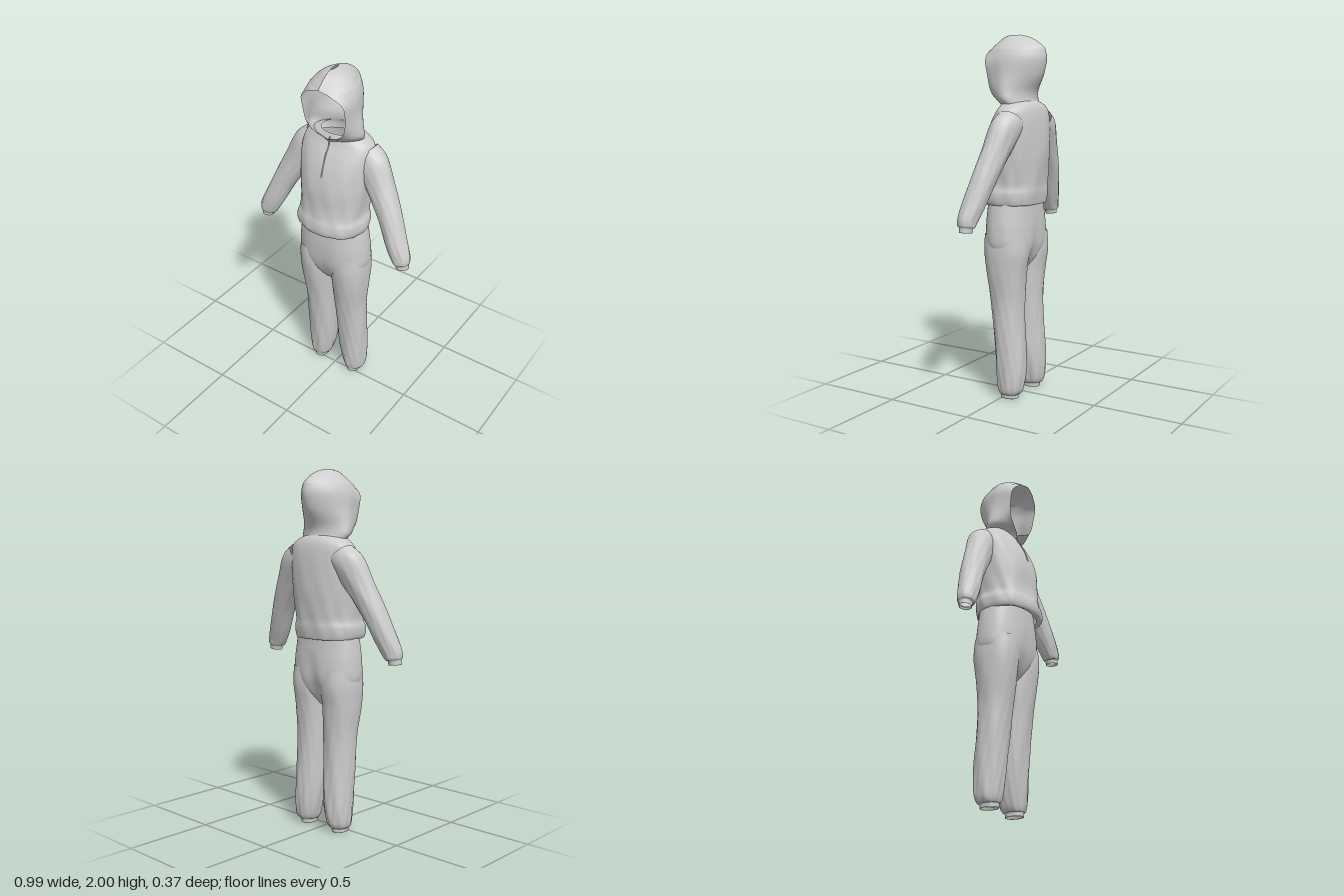
import * as THREE from 'three';

const material = new THREE.MeshStandardMaterial({ color: 0xcccccc, roughness: 0.9, side: THREE.DoubleSide });

// Catmull-Rom blend of the columns of a table of sections
function sampleRows(rows, t) {
  const f = t * (rows.length - 1), i = Math.min(Math.floor(f), rows.length - 2), u = f - i;
  const at = k => rows[Math.max(0, Math.min(rows.length - 1, k))];
  return rows[i].map((_, c) => {
    const [a, b, d, e] = [at(i - 1)[c], at(i)[c], at(i + 1)[c], at(i + 2)[c]];
    return b + 0.5 * u * (d - a + u * (2 * a - 5 * b + 4 * d - e + u * (3 * (b - d) + e - a)));
  });
}

// Smooth skin over a grid of points; closed joins the last column to the first
function skin(name, grid, closed, flip = false) {
  const n = grid[0].length, pos = grid.flat().flatMap(p => [p.x, p.y, p.z]), idx = [];
  for (let r = 0; r < grid.length - 1; r++) {
    for (let i = 0; i < (closed ? n : n - 1); i++) {
      const j = (i + 1) % n, a = r * n + i, b = r * n + j, c = a + n, d = b + n;
      if (flip) idx.push(a, c, b, b, c, d);
      else idx.push(a, b, c, b, d, c);
    }
  }
  const g = new THREE.BufferGeometry();
  g.setAttribute('position', new THREE.Float32BufferAttribute(pos, 3));
  g.setIndex(idx);
  g.computeVertexNormals();
  const mesh = new THREE.Mesh(g, material);
  mesh.name = name;
  return mesh;
}

// Cloth tube through sections [x, y, z, halfWidth, halfDepth, tilt, fold], listed top to bottom
function clothTube(name, rows, { side = 1, power = 2, steps = 60, shape } = {}) {
  const grid = [];
  for (let s = 0; s <= steps; s++) {
    const [x, y, z, rx, rz, tilt, fold] = sampleRows(rows, s / steps);
    const ring = [];
    for (let i = 0; i < 72; i++) {
      const a = (i / 72) * Math.PI * 2, c = Math.cos(a), d = Math.sin(a);
      const k = 1 + fold * (Math.sin(7 * a + 13 * y + side) + 0.6 * Math.sin(13 * a - 21 * y));
      const u = Math.sign(c) * Math.abs(c) ** (2 / power) * rx * k;
      const v = Math.sign(d) * Math.abs(d) ** (2 / power) * rz * k;
      const p = new THREE.Vector3(side * (x + u * Math.cos(tilt)), y + u * Math.sin(tilt), z + v);
      if (shape) shape(p);
      ring.push(p);
    }
    grid.push(ring);
  }
  return skin(name, grid, true, side < 0);
}

// Open-fronted hood: rows [y, openingHalf, frontZ, halfWidth, widestZ, backZ], top to bottom
function makeHood() {
  const rows = [
    [1.998, 0, 0.04, 0.008, 0.005, -0.03],
    [1.985, 0, 0.075, 0.05, 0, -0.085],
    [1.96, 0, 0.11, 0.085, 0, -0.135],
    [1.93, 0, 0.143, 0.112, 0.02, -0.172],
    [1.91, 0.06, 0.138, 0.125, 0.01, -0.182],
    [1.86, 0.125, 0.118, 0.14, 0, -0.187],
    [1.78, 0.128, 0.102, 0.145, -0.01, -0.165],
    [1.70, 0.115, 0.092, 0.155, -0.02, -0.122],
    [1.655, 0.07, 0.085, 0.16, -0.03, -0.115],
    [1.625, 0.004, 0.068, 0.15, -0.04, -0.125],
    [1.59, 0, 0.045, 0.13, -0.05, -0.13]];
  const grid = [];
  for (let s = 0; s <= 70; s++) {
    const [y, open, f, w, m, b] = sampleRows(rows, s / 70);
    const g = Math.max(0, open);
    const half = [[g, f], [g + (w - g) * 0.68, m + (f - m) * 0.62], [w, m], [w * 0.68, m + (b - m) * 0.6]];
    const pts = [...half, [0, b], ...half.slice().reverse().map(([x, z]) => [-x, z])];
    const curve = new THREE.CatmullRomCurve3(pts.map(([x, z]) => new THREE.Vector3(x, y, z)), false, 'centripetal');
    grid.push(curve.getPoints(64).map(p => {
      // soft drape creases low on the sides
      const drape = Math.max(0, 1.85 - y) * 0.05 * Math.sin(38 * p.z + 16 * y);
      p.x *= 1 + drape * 2;
      return p;
    }));
  }
  return skin('hood', grid, false, true);
}

export function createModel() {
  const model = new THREE.Group();
  model.name = 'hooded tracksuit';

  // Sweatshirt body, with a gathered hem turned in at the bottom
  model.add(clothTube('sweatshirtBody', [
    [0, 1.645, -0.04, 0.10, 0.075, 0, 0],
    [0, 1.625, -0.045, 0.155, 0.09, 0, 0],
    [0, 1.59, -0.045, 0.198, 0.105, 0, 0.003],
    [0, 1.53, -0.033, 0.208, 0.128, 0, 0.006],
    [0, 1.45, -0.02, 0.205, 0.148, 0, 0.008],
    [0, 1.35, -0.01, 0.198, 0.16, 0, 0.01],
    [0, 1.25, -0.004, 0.19, 0.16, 0, 0.014],
    [0, 1.19, 0.002, 0.188, 0.162, 0, 0.018],
    [0, 1.15, 0.008, 0.2, 0.168, 0, 0.016],
    [0, 1.11, 0.012, 0.2, 0.168, 0, 0.012],
    [0, 1.085, 0.01, 0.19, 0.16, 0, 0.012],
    [0, 1.095, 0.005, 0.175, 0.14, 0, 0]], { power: 2.3, steps: 88 }));

  // Short zip placket below the collar
  const zipPath = new THREE.CatmullRomCurve3([[1.635, 0.055], [1.59, 0.064], [1.54, 0.094], [1.48, 0.119], [1.43, 0.134]]
    .map(([y, z]) => new THREE.Vector3(0.003, y, z)));
  const zip = new THREE.Mesh(new THREE.TubeGeometry(zipPath, 20, 0.004, 6), material);
  zip.name = 'zipPlacket';
  model.add(zip, makeHood());

  // Seat of the trousers, with a shallow centre crease at the back
  model.add(clothTube('trouserSeat', [
    [0, 1.13, -0.005, 0.185, 0.125, 0, 0],
    [0, 1.05, -0.003, 0.2, 0.13, 0, 0.002],
    [0, 0.95, -0.004, 0.213, 0.136, 0, 0.003],
    [0, 0.86, -0.006, 0.212, 0.133, 0, 0.004],
    [0, 0.79, -0.006, 0.17, 0.112, 0, 0.006],
    [0, 0.73, -0.005, 0.1, 0.075, 0, 0.006],
    [0, 0.69, -0.005, 0.02, 0.03, 0, 0]], {
    power: 2.25,
    shape: p => {
      const low = Math.max(0, Math.min(1, (1.02 - p.y) / 0.2));
      p.z *= 1 - (p.z < 0 ? 0.16 : 0.07) * low * Math.exp(-((p.x / 0.04) ** 2));
    } }));

  for (const side of [1, -1]) {
    const label = side > 0 ? 'left' : 'right';

    // Trouser leg, gathered into an ankle cuff
    model.add(clothTube(label + 'TrouserLeg', [
      [0.108, 0.92, -0.005, 0.098, 0.122, 0, 0],
      [0.107, 0.82, -0.006, 0.105, 0.126, 0, 0.004],
      [0.105, 0.70, -0.005, 0.102, 0.111, 0, 0.008],
      [0.102, 0.55, -0.012, 0.092, 0.094, 0, 0.012],
      [0.104, 0.40, -0.022, 0.089, 0.086, 0, 0.014],
      [0.108, 0.25, -0.034, 0.085, 0.084, 0, 0.018],
      [0.114, 0.14, -0.04, 0.078, 0.081, 0, 0.024],
      [0.12, 0.06, -0.04, 0.067, 0.072, 0, 0.028],
      [0.121, 0.028, -0.036, 0.054, 0.06, 0, 0.02],
      [0.12, 0.022, -0.034, 0.041, 0.053, 0, 0.008],
      [0.12, 0, -0.033, 0.039, 0.051, 0, 0],
      [0.12, 0.015, -0.033, 0.033, 0.045, 0, 0]], { side, power: 2.15, steps: 90 }));

    // Sleeve, gathered into a wrist cuff
    model.add(clothTube(label + 'Sleeve', [
      [0.145, 1.535, -0.06, 0.085, 0.075, 0.75, 0],
      [0.198, 1.485, -0.052, 0.095, 0.078, 0.58, 0.008],
      [0.262, 1.38, -0.036, 0.08, 0.07, 0.46, 0.016],
      [0.342, 1.24, -0.012, 0.066, 0.066, 0.46, 0.014],
      [0.402, 1.11, 0.012, 0.06, 0.06, 0.46, 0.016],
      [0.438, 1.035, 0.024, 0.055, 0.051, 0.4, 0.024],
      [0.449, 1.004, 0.026, 0.046, 0.046, 0.25, 0.018],
      [0.451, 0.995, 0.026, 0.037, 0.036, 0.15, 0.006],
      [0.455, 0.972, 0.027, 0.035, 0.034, 0.1, 0],
      [0.453, 0.985, 0.027, 0.029, 0.028, 0.1, 0]], { side, steps: 80 }));
  }
  return model;
}
